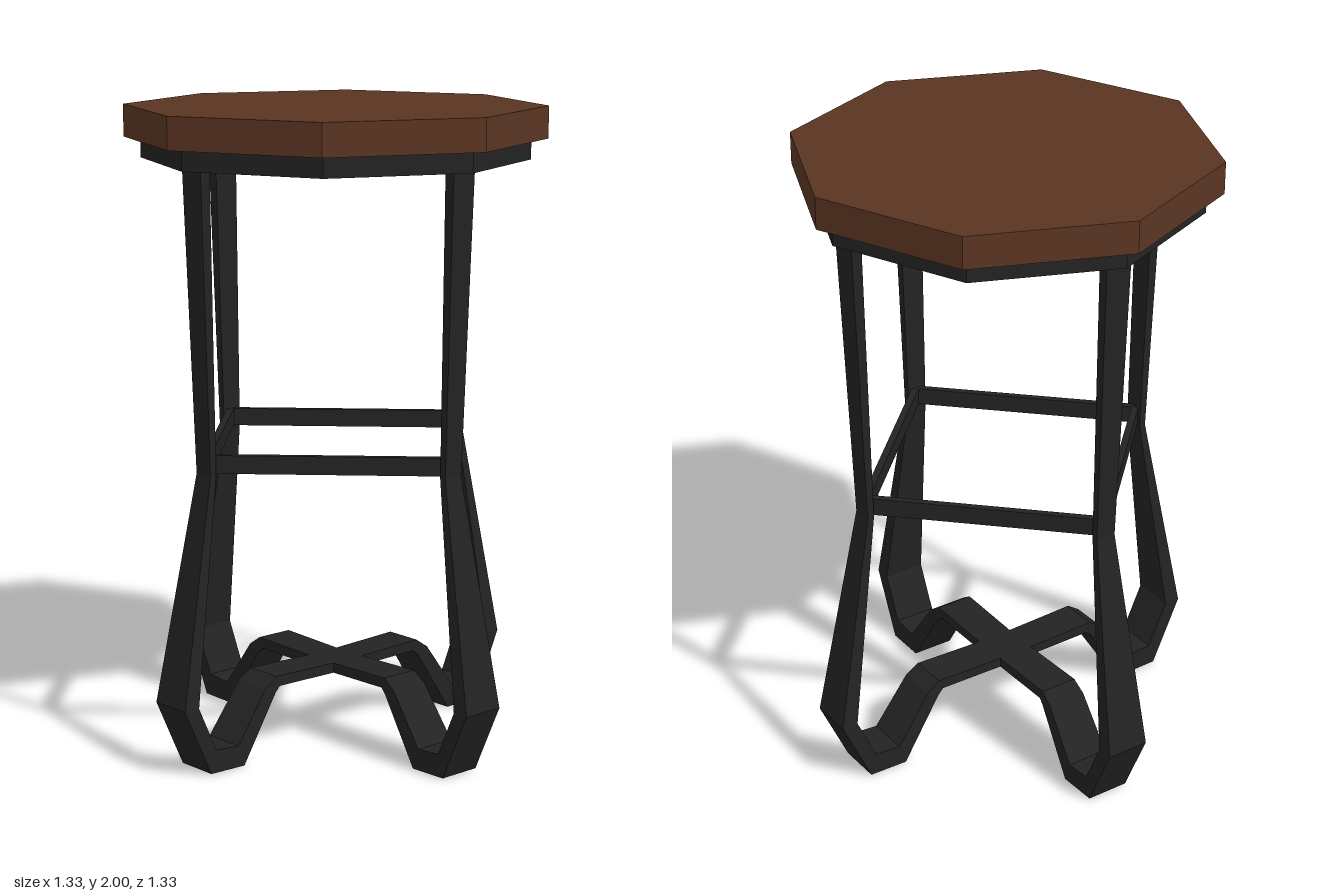
import * as THREE from 'three';

// Flat-faced copy of a geometry
function faceted(geo) {
  const g = geo.index ? geo.toNonIndexed() : geo;
  g.computeVertexNormals();
  return g;
}

function octagon(PathType, r) {
  const p = new PathType();
  for (let i = 0; i < 8; i++) {
    const a = i * Math.PI / 4;
    if (i) p.lineTo(r * Math.cos(a), r * Math.sin(a));
    else p.moveTo(r, 0);
  }
  p.closePath();
  return p;
}

// Rectangular strap through sections [outerX, outerY, innerX, innerY, halfWidth]
function strap(sections) {
  const pos = [], idx = [];
  for (const [ox, oy, ix, iy, w] of sections) {
    pos.push(ox, oy, -w, ox, oy, w, ix, iy, w, ix, iy, -w);
  }
  for (let i = 0; i < sections.length - 1; i++) {
    for (let j = 0; j < 4; j++) {
      const a = i * 4 + j, b = i * 4 + (j + 1) % 4;
      idx.push(a, b, b + 4, a, b + 4, a + 4);
    }
  }
  idx.push(0, 2, 1, 0, 3, 2);
  const g = new THREE.BufferGeometry();
  g.setAttribute('position', new THREE.Float32BufferAttribute(pos, 3));
  g.setIndex(idx);
  return faceted(g);
}

export function createModel() {
  const model = new THREE.Group();
  const wood = new THREE.MeshStandardMaterial({ color: 0x5a3522 });
  wood.name = 'brown wood';
  const metal = new THREE.MeshStandardMaterial({ color: 0x232323 });
  metal.name = 'black metal';

  const add = (name, geo, mat) => {
    const mesh = new THREE.Mesh(geo, mat);
    mesh.name = name;
    model.add(mesh);
    return mesh;
  };

  // Octagonal seat
  const seat = add('seat', faceted(new THREE.CylinderGeometry(0.652, 0.652, 0.1, 8)), wood);
  seat.position.y = 1.95;

  // Hollow rim under the seat
  const rimShape = octagon(THREE.Shape, 0.6);
  rimShape.holes.push(octagon(THREE.Path, 0.55));
  const rimGeo = new THREE.ExtrudeGeometry(rimShape, { depth: 0.065, bevelEnabled: false });
  rimGeo.rotateX(-Math.PI / 2);
  add('seatRim', rimGeo, metal).position.y = 1.836;

  // Each leg bends under into a foot and runs on to the centre of the cross brace
  const legGeo = strap([
    [0.565, 1.86, 0.53, 1.86, 0.043],
    [0.53, 0.92, 0.508, 0.92, 0.033],
    [0.667, 0.22, 0.613, 0.22, 0.07],
    [0.568, 0.003, 0.547, 0.075, 0.07],
    [0.437, 0, 0.46, 0.068, 0.07],
    [0.305, 0.205, 0.345, 0.225, 0.065],
    [0.285, 0.222, 0.3, 0.256, 0.062],
    [0, 0.217, 0, 0.248, 0.06],
  ]);

  // Stretchers join neighbouring legs at the waist
  const railGeo = new THREE.BoxGeometry(0.735, 0.056, 0.022);
  railGeo.rotateY(Math.PI / 4);
  railGeo.translate(0.257, 0.952, 0.257);

  ['left', 'back', 'right', 'front'].forEach((side, i) => {
    add(side + 'Leg', legGeo, metal).rotation.y = i * Math.PI / 2;
    add(side + 'Stretcher', railGeo, metal).rotation.y = i * Math.PI / 2;
  });

  return model;
}
